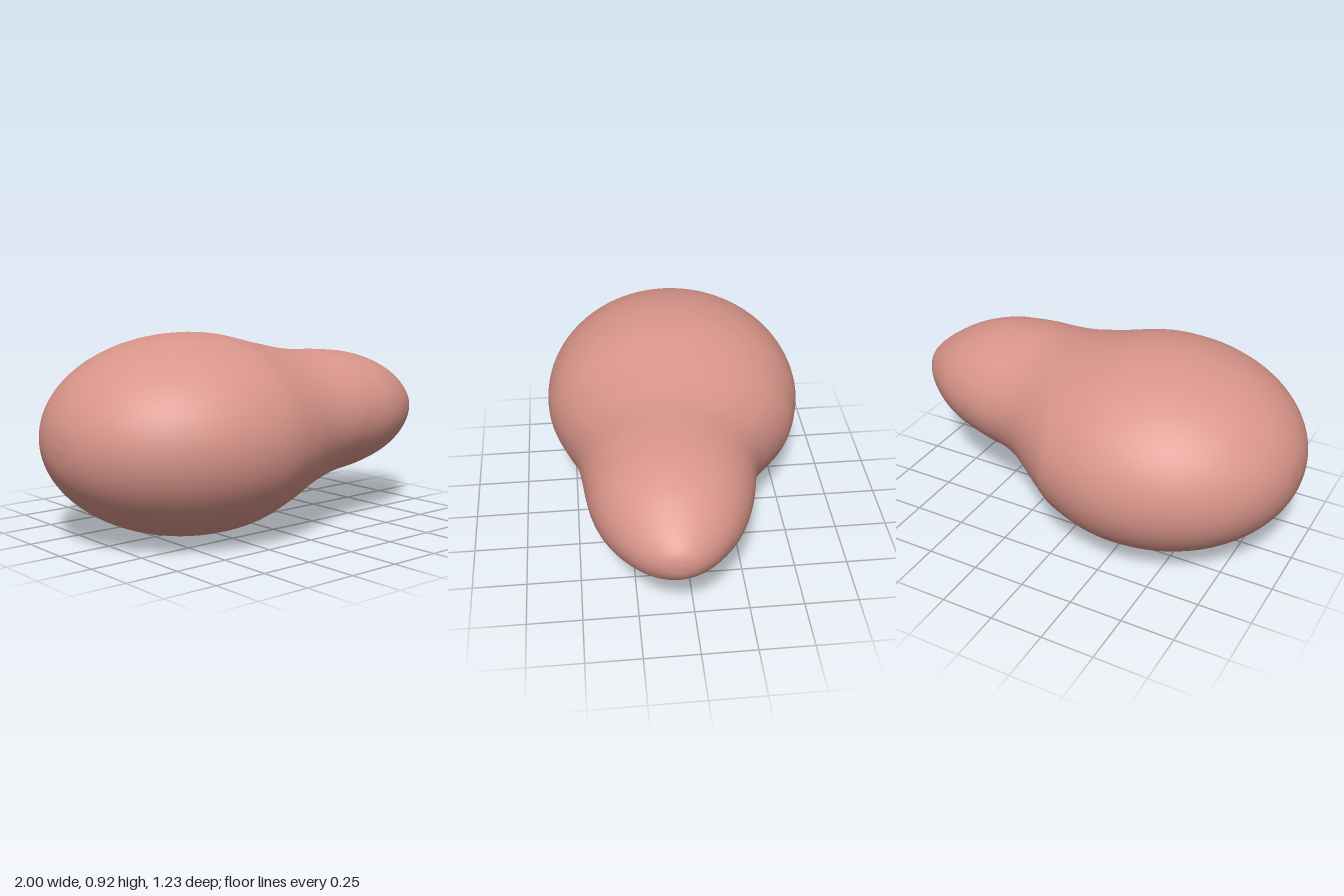
import * as THREE from 'three';

const SEGMENTS = 72; // around each section
const RINGS = 110; // along the length

// Section control rows: [x, yCentre, yRadius, zCentre, zRadius]
function sectionRows() {
  const rows = [];
  // Large lobe: an ellipsoid up to just past its widest point
  for (let k = 0; k <= 8; k++) {
    const a = (k / 8) * (Math.PI / 2 + 0.2);
    const s = Math.sin(a);
    rows.push([-0.31 - 0.69 * Math.cos(a), 0.46, 0.46 * s, 0, 0.615 * s]);
  }
  // Waist and smaller lobe, drifting up and forward
  rows.push(
    [0.0, 0.463, 0.408, 0.0, 0.55],
    [0.1, 0.473, 0.375, 0.013, 0.503],
    [0.2, 0.483, 0.343, 0.035, 0.455],
    [0.3, 0.495, 0.318, 0.06, 0.415],
    [0.4, 0.505, 0.305, 0.075, 0.39],
    [0.5, 0.507, 0.296, 0.08, 0.375],
    [0.6, 0.51, 0.28, 0.085, 0.355],
    [0.7, 0.51, 0.253, 0.087, 0.322],
    [0.8, 0.51, 0.21, 0.088, 0.27],
    [0.9, 0.508, 0.147, 0.09, 0.192],
    [0.96, 0.51, 0.094, 0.088, 0.122],
    [0.99, 0.515, 0.05, 0.085, 0.065],
    [1.0, 0.52, 0, 0.083, 0]
  );
  return rows;
}

// Skin of elliptical rings with one shared vertex at each end
function blobGeometry() {
  const rows = sectionRows();
  const smooth = (c, r) =>
    new THREE.CatmullRomCurve3(rows.map((p) => new THREE.Vector3(p[0], p[c], p[r])), false, 'catmullrom', 0.5);
  const vertical = smooth(1, 2);
  const depth = smooth(3, 4);

  const first = rows[0];
  const last = rows[rows.length - 1];
  const pos = [first[0], first[1], first[3]];
  for (let i = 1; i < RINGS; i++) {
    const v = vertical.getPoint(i / RINGS);
    const d = depth.getPoint(i / RINGS);
    for (let j = 0; j < SEGMENTS; j++) {
      const a = (j / SEGMENTS) * Math.PI * 2;
      pos.push(v.x, v.y + v.z * Math.cos(a), d.y + d.z * Math.sin(a));
    }
  }
  pos.push(last[0], last[1], last[3]);

  const index = [];
  const end = pos.length / 3 - 1;
  const at = (i, j) => 1 + (i - 1) * SEGMENTS + (j % SEGMENTS);
  for (let j = 0; j < SEGMENTS; j++) {
    index.push(0, at(1, j + 1), at(1, j));
    for (let i = 1; i < RINGS - 1; i++) {
      index.push(at(i, j), at(i, j + 1), at(i + 1, j));
      index.push(at(i, j + 1), at(i + 1, j + 1), at(i + 1, j));
    }
    index.push(end, at(RINGS - 1, j), at(RINGS - 1, j + 1));
  }
  const geometry = new THREE.BufferGeometry();
  geometry.setAttribute('position', new THREE.Float32BufferAttribute(pos, 3));
  geometry.setIndex(index);
  geometry.computeVertexNormals();
  return geometry;
}

export function createModel() {
  const group = new THREE.Group();
  const body = new THREE.Mesh(blobGeometry(), new THREE.MeshStandardMaterial({ color: 0xd9958a }));
  body.name = 'body';
  group.add(body);
  return group;
}
